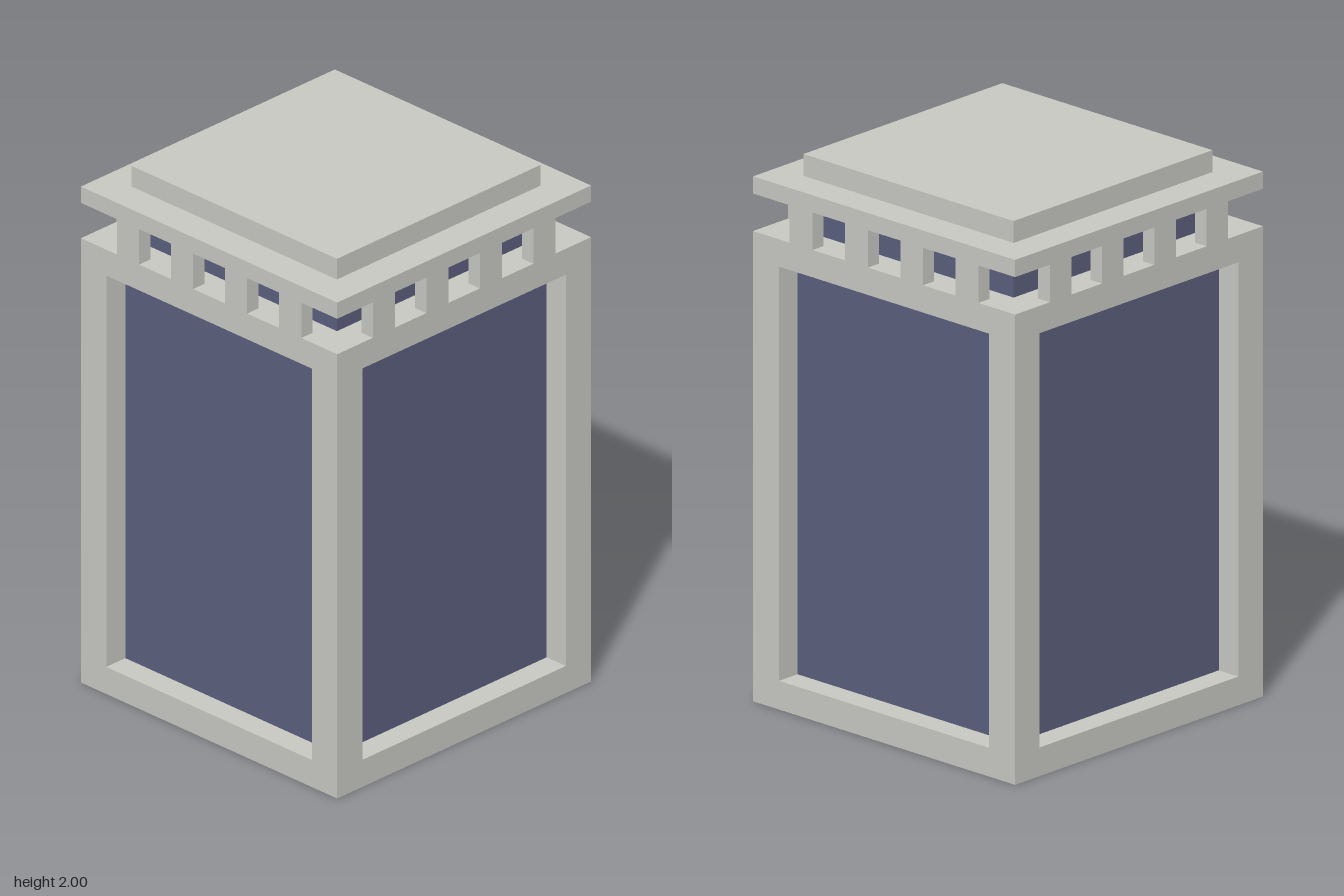
import * as THREE from 'three';

const OUT = 0.621;   // half width of the casing
const IN = 0.498;    // half width of the window openings, lamp core and cap

export function createModel() {
  const model = new THREE.Group();
  model.name = 'lantern';
  const stone = new THREE.MeshStandardMaterial({ name: 'pale stone', color: 0xc9c9c4 });
  const glass = new THREE.MeshStandardMaterial({ name: 'blue glass', color: 0x5c5f7e });

  // Box between two heights, centred on (x, z)
  function block(name, mat, w, d, y0, y1, x = 0, z = 0, parent = model) {
    const mesh = new THREE.Mesh(new THREE.BoxGeometry(w, y1 - y0, d), mat);
    mesh.name = name;
    mesh.position.set(x, (y0 + y1) / 2, z);
    parent.add(mesh);
  }

  // Horizontal slabs, bottom to top
  block('base', stone, 2 * OUT, 2 * OUT, 0, 0.105);
  block('header', stone, 2 * OUT, 2 * OUT, 1.62, 1.72);
  block('roof', stone, 2 * OUT, 2 * OUT, 1.857, 1.92);
  block('cap', stone, 2 * IN, 2 * IN, 1.92, 2);

  // Recessed glass behind the four openings, and the core behind the vents
  block('windowGlass', glass, 1.056, 1.056, 0.105, 1.62);
  block('ventCore', glass, 2 * IN, 2 * IN, 1.72, 1.857);

  // Corner posts
  const post = OUT - IN, at = (OUT + IN) / 2;
  for (const sx of [-1, 1]) {
    for (const sz of [-1, 1]) {
      block('cornerPost', stone, post, post, 0.105, 1.62, sx * at, sz * at);
    }
  }

  // Four short vent pillars on each side, flush with the casing
  const depth = 0.055;
  for (let side = 0; side < 4; side++) {
    const row = new THREE.Group();
    row.name = 'ventPillars';
    row.rotation.y = side * Math.PI / 2;
    for (let i = 0; i < 4; i++) {
      block('ventPillar', stone, 0.108, depth, 1.72, 1.857, (i - 1.5) * 0.262, OUT - depth / 2, row);
    }
    model.add(row);
  }
  return model;
}
